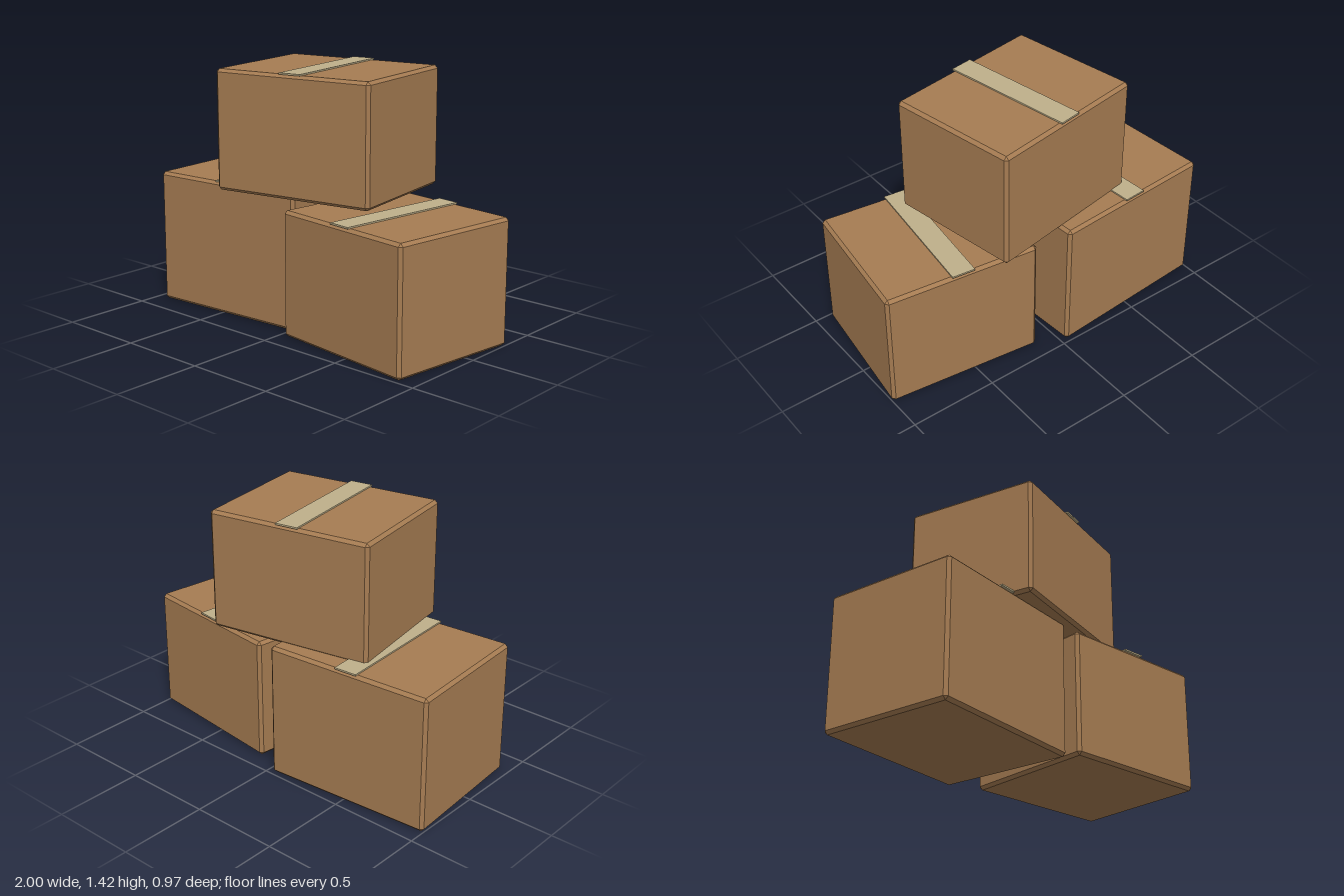
import * as THREE from 'three';
import { ConvexGeometry } from 'three/addons/geometries/ConvexGeometry.js';

const cardboard = new THREE.MeshStandardMaterial({ color: 0xa67c52 });
cardboard.name = 'cardboard';
const packingTape = new THREE.MeshStandardMaterial({ color: 0xbfb08a });
packingTape.name = 'packing tape';

const BEVEL = 0.017;
const TAPE_WIDTH = 0.13;
const TAPE_THICKNESS = 0.009;

// Box with every edge cut by a flat bevel: three points around each corner
function bevelledBox(w, h, d) {
  const points = [];
  for (const sx of [-1, 1]) for (const sy of [-1, 1]) for (const sz of [-1, 1]) {
    for (let full = 0; full < 3; full++) {
      const half = [w / 2, h / 2, d / 2].map((v, i) => (i === full ? v : v - BEVEL));
      points.push(new THREE.Vector3(sx * half[0], sy * half[1], sz * half[2]));
    }
  }
  return new ConvexGeometry(points);
}

// One carton standing on its own origin, with a strip of tape along the lid
function carton(name, { size: [w, h, d], position, turn }) {
  const group = new THREE.Group();
  group.name = name;

  const body = new THREE.Mesh(bevelledBox(w, h, d), cardboard);
  body.name = name + 'Body';
  body.position.y = h / 2;

  const tape = new THREE.Mesh(new THREE.BoxGeometry(TAPE_WIDTH, TAPE_THICKNESS, d), packingTape);
  tape.name = name + 'Tape';
  tape.position.y = h + TAPE_THICKNESS / 2 - 0.001;

  group.add(body, tape);
  group.position.set(...position);
  group.rotation.y = THREE.MathUtils.degToRad(turn);
  return group;
}

export function createModel() {
  const model = new THREE.Group();
  model.name = 'cartonStack';
  model.add(
    carton('lowerRightCarton', { size: [0.975, 0.76, 0.785], position: [-0.488, 0, -0.058], turn: 4 }),
    carton('lowerLeftCarton', { size: [0.884, 0.697, 0.791], position: [0.514, 0, 0.04], turn: -7 }),
    carton('upperCarton', { size: [0.946, 0.662, 0.761], position: [-0.013, 0.748, -0.024], turn: 10 })
  );
  return model;
}
